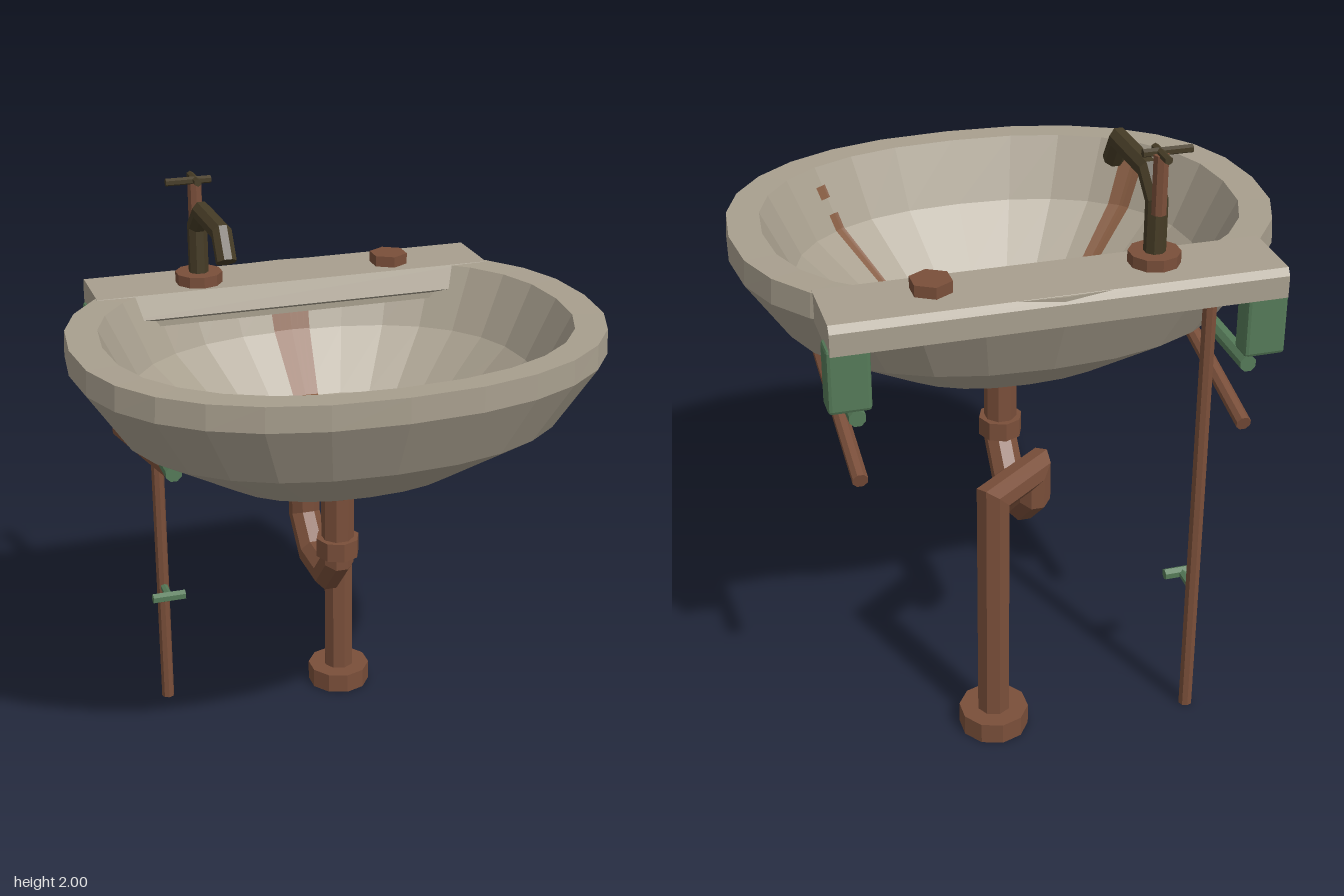
import * as THREE from 'three';
import { RoundedBoxGeometry } from 'three/addons/geometries/RoundedBoxGeometry.js';

const mat = (name, color, extra = {}) =>
  new THREE.MeshStandardMaterial({ name, color, flatShading: true, ...extra });
const V = (x, y, z) => new THREE.Vector3(x, y, z);

// Faceted surface from cross-section loops (arrays of Vector3)
function loft(rings, closed = true) {
  const n = rings[0].length, pos = [], idx = [];
  rings.forEach(r => r.forEach(p => pos.push(p.x, p.y, p.z)));
  for (let i = 0; i < rings.length - 1; i++) {
    for (let j = 0; j < (closed ? n : n - 1); j++) {
      const a = i * n + j, b = i * n + (j + 1) % n, d = a + n, c = b + n;
      idx.push(a, d, b, b, d, c);
    }
  }
  const g = new THREE.BufferGeometry();
  g.setAttribute('position', new THREE.Float32BufferAttribute(pos, 3));
  g.setIndex(idx);
  g.computeVertexNormals();
  return g;
}

// Capped pipe with mitred corners
function pipeGeometry(points, r, sides = 8) {
  const dirs = points.slice(1).map((p, i) => p.clone().sub(points[i]).normalize());
  const d0 = dirs[0];
  const u = V(0, 1, 0).cross(d0);
  if (u.length() < 0.01) u.set(1, 0, 0);
  u.normalize();
  const w = u.clone().cross(d0);
  let ring = [];
  for (let j = 0; j < sides; j++) {
    const t = ((j + 0.5) / sides) * Math.PI * 2;
    ring.push(points[0].clone().addScaledVector(u, r * Math.cos(t)).addScaledVector(w, r * Math.sin(t)));
  }
  const rings = [ring.map(() => points[0]), ring];
  dirs.forEach((d, k) => {
    const end = points[k + 1];
    const n = dirs[k + 1] ? d.clone().add(dirs[k + 1]).normalize() : d;
    ring = ring.map(v => v.clone().addScaledVector(d, end.clone().sub(v).dot(n) / d.dot(n)));
    rings.push(ring);
  });
  rings.push(ring.map(() => points[points.length - 1]));
  return loft(rings);
}

// Basin sections: half width, half depth, height
const N = 28;
const OUTER = [[0.05, 0.05, 1.137], [0.42, 0.33, 1.165], [0.73, 0.58, 1.35], [0.868, 0.685, 1.555], [0.863, 0.685, 1.637]];
const INNER = [[0.76, 0.6, 1.635], [0.66, 0.52, 1.43], [0.46, 0.36, 1.245], [0.07, 0.07, 1.17]];

function basinVertex([a, b, y], j) {
  const t = (j / N) * Math.PI * 2, c = Math.cos(t), s = Math.sin(t);
  const f = v => Math.sign(v) * Math.pow(Math.abs(v), 2 / 2.3);
  return V(a * f(c), y, b * f(s));
}

// Point on the faceted inner wall: angle in degrees, section number v (0 = rim)
function innerPoint(deg, v) {
  const j = (deg / 360) * N, j0 = Math.floor(j);
  const i = Math.min(Math.floor(v), INNER.length - 2);
  const at = k => basinVertex(INNER[k], j0).lerp(basinVertex(INNER[k], j0 + 1), j - j0);
  return at(i).lerp(at(i + 1), v - i);
}

export function createModel() {
  const model = new THREE.Group();
  const ceramic = mat('ceramic', 0xa89f8e);
  const rust = mat('rusty metal', 0x7a4f3a);
  const stainMat = mat('rust stain', 0x855b41, { side: THREE.DoubleSide });
  const bronze = mat('dark bronze', 0x463c26);
  const green = mat('green paint', 0x557a58);
  const dark = mat('drain shadow', 0x1f1c16);

  const add = (name, geo, material, x = 0, y = 0, z = 0) => {
    const m = new THREE.Mesh(geo, material);
    m.name = name;
    m.position.set(x, y, z);
    model.add(m);
    return m;
  };
  const cyl = (name, material, r, y0, y1, x, z, sides = 10) =>
    add(name, new THREE.CylinderGeometry(r, r, y1 - y0, sides), material, x, (y0 + y1) / 2, z);
  const pipe = (name, material, r, pts, sides) =>
    add(name, pipeGeometry(pts.map(p => V(...p)), r, sides), material);

  // Basin shell
  const rings = [...OUTER, ...INNER].map(s => Array.from({ length: N }, (_, j) => basinVertex(s, j)));
  add('basin', loft(rings), ceramic);

  // Back ledge, profile drawn as (depth, height) and extruded sideways
  const ledge = (name, pts, halfWidth) => {
    const s = new THREE.Shape(pts.map(([z, y]) => new THREE.Vector2(-z, y)));
    const g = new THREE.ExtrudeGeometry(s, { depth: halfWidth * 2, bevelEnabled: false });
    g.translate(0, 0, -halfWidth).rotateY(Math.PI / 2);
    add(name, g, ceramic);
  };
  ledge('ledge', [[-0.69, 1.545], [-0.69, 1.615], [-0.675, 1.638], [-0.44, 1.638], [-0.412, 1.56], [-0.44, 1.545]], 0.69);
  ledge('ledgeUnderside', [[-0.59, 1.525], [-0.59, 1.55], [-0.44, 1.55], [-0.44, 1.525]], 0.68);

  // Rust stains hugging the inner wall: centre angle, half spread, from, to
  for (const [deg, spread, v0, v1] of [[270, 4.6, 0.3, 2.95], [50.5, 2, 0.75, 2.95], [141, 4.2, 0.12, 2], [50, 2, 0.3, 0.5]]) {
    const stops = [v0, 1, 2, v1].filter(v => v >= v0 && v <= v1);
    const strips = [...new Set(stops)].sort((a, b) => a - b).map(v =>
      Array.from({ length: 7 }, (_, k) => {
        const p = innerPoint(deg + spread * (k / 3 - 1), v);
        return V(p.x * 0.995, p.y + 0.005, p.z * 0.995);
      }));
    add('rustStain', loft(strips, false), stainMat);
  }

  // Drain with grating
  cyl('drainPlate', dark, 0.075, 1.15, 1.178, 0, 0, 16);
  const ring = add('drainRing', new THREE.TorusGeometry(0.073, 0.013, 6, 18), bronze, 0, 1.18, 0);
  ring.rotation.x = Math.PI / 2;
  for (const x of [-0.035, 0, 0.035])
    add('drainBar', new THREE.BoxGeometry(0.02, 0.014, x ? 0.12 : 0.14), bronze, x, 1.182, 0);

  // Tap
  const tx = -0.322, tz = -0.53;
  cyl('tapBase', rust, 0.08, 1.62, 1.675, tx, tz, 10);
  pipe('tapSpout', bronze, 0.034, [[tx, 1.66, tz], [tx, 1.835, tz], [tx, 1.9, -0.455],
    [tx, 1.9, -0.2], [tx, 1.82, -0.148]]);
  cyl('tapStem', rust, 0.024, 1.8, 1.985, tx, -0.55, 8);
  pipe('tapHandle', bronze, 0.013, [[-0.423, 1.987, -0.535], [-0.27, 1.987, -0.535]], 6);
  pipe('tapHandle', bronze, 0.013, [[tx, 1.987, -0.61], [tx, 1.987, -0.497]], 6);
  cyl('spareTapNut', rust, 0.066, 1.62, 1.675, 0.36, -0.535, 6);

  // Waste pipe, trap and standpipe
  pipe('trap', rust, 0.055, [[0, 1.15, 0], [0, 0.79, 0], [0, 0.685, -0.1], [0, 0.685, -0.27],
    [0, 0.79, -0.385], [0, 0.885, -0.385], [0.17, 0.885, -0.513], [0.17, 0.03, -0.513]]);
  cyl('upperCollar', rust, 0.074, 1.037, 1.103, 0, 0, 8);
  cyl('lowerCollar', rust, 0.074, 0.81, 0.875, 0, 0, 8);
  cyl('floorFlange', rust, 0.114, 0, 0.072, 0.17, -0.513, 10);

  // Supply pipe and its valve
  cyl('supplyPipe', rust, 0.023, 0, 1.54, -0.483, -0.592, 8);
  pipe('valveStem', green, 0.014, [[-0.483, 0.47, -0.59], [-0.483, 0.47, -0.5]], 6);
  pipe('valveHandle', green, 0.019, [[-0.542, 0.47, -0.495], [-0.423, 0.47, -0.495]], 6);

  // Wall brackets and support rods
  for (const s of [-1, 1]) {
    add('bracketBlock', new RoundedBoxGeometry(0.13, 0.21, 0.085, 1, 0.012), green, s * 0.635, 1.455, -0.635);
    pipe('supportRod', green, 0.027, [[s * 0.607, 1.295, 0.25], [s * 0.607, 1.3, -0.625]]);
    pipe('bracingRod', rust, 0.025, [[s * 0.607, 1.29, 0.23], [s * 0.607, 1.09, -0.625]]);
  }
  return model;
}
